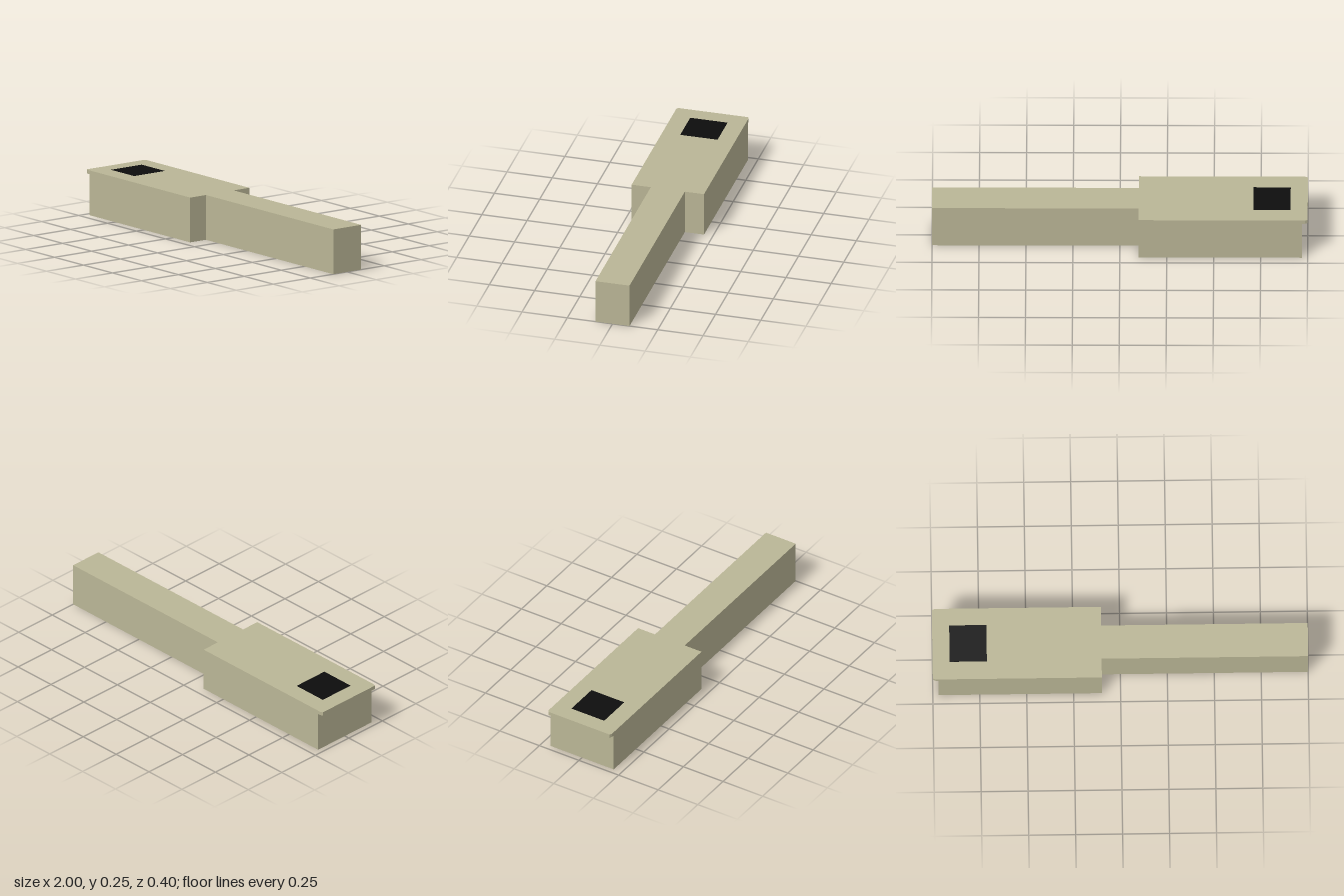
import * as THREE from 'three';

const HEIGHT = 0.244;

export function createModel() {
  const model = new THREE.Group();
  const khaki = new THREE.MeshStandardMaterial({ color: 0xbab696 });
  khaki.name = 'khaki';
  const black = new THREE.MeshStandardMaterial({ color: 0x0d0d0d });
  black.name = 'black';

  const add = (name, geometry, material, x = 0, y = 0, z = 0) => {
    const mesh = new THREE.Mesh(geometry, material);
    mesh.name = name;
    mesh.position.set(x, y, z);
    model.add(mesh);
  };

  // Wide block and narrow arm as one stepped outline, extruded upwards
  const half = [[-0.97, 0.2], [-0.1, 0.2], [-0.1, 0.094], [1, 0.094]];
  const outline = [...half, ...half.map(([x, z]) => [x, -z]).reverse()];
  const shape = new THREE.Shape(outline.map(([x, z]) => new THREE.Vector2(x, z)));
  const body = new THREE.ExtrudeGeometry(shape, { depth: HEIGHT, bevelEnabled: false });
  body.rotateX(-Math.PI / 2);
  add('body', body, khaki);

  // Thin overhanging lip at the wide end, with clipped corners
  const lipShape = new THREE.Shape([
    [-0.97, -0.2], [-0.97, 0.2], [-0.985, 0.2], [-1, 0.194], [-1, -0.194], [-0.985, -0.2],
  ].map(([x, z]) => new THREE.Vector2(x, z)));
  const lip = new THREE.ExtrudeGeometry(lipShape, { depth: 0.021, bevelEnabled: false });
  lip.rotateX(-Math.PI / 2);
  add('lip', lip, khaki, 0, HEIGHT - 0.021, 0);

  // Black square panel on the top
  add('topPanel', new THREE.BoxGeometry(0.198, 0.002, 0.206), black, -0.81, HEIGHT, -0.002);

  return model;
}
